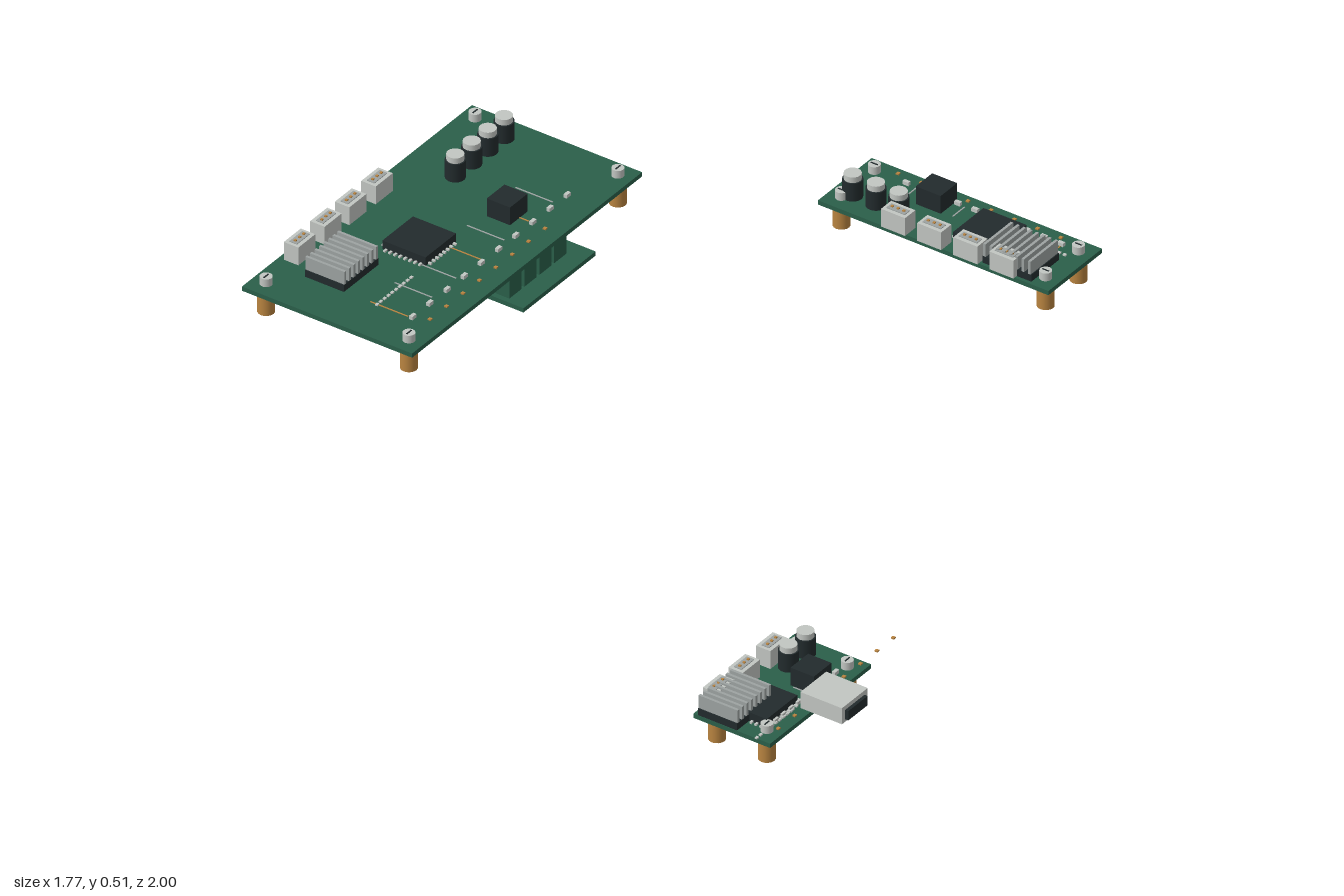
import * as THREE from 'three';

const mat = (name, color) => {
  const m = new THREE.MeshStandardMaterial({ color });
  m.name = name;
  return m;
};

export function createModel() {
  const green = mat('board green', 0x2a5f4a);
  const dark = mat('chip black', 0x222b2d);
  const light = mat('pale metal', 0xc2c6c2);
  const grey = mat('fin grey', 0x9da3a2);
  const brass = mat('brass', 0xb98440);

  const add = (parent, name, geo, m, x, y, z) => {
    const mesh = new THREE.Mesh(geo, m);
    mesh.name = name;
    mesh.position.set(x, y, z);
    parent.add(mesh);
    return mesh;
  };
  // Box and cylinder placed by the height of their underside
  const box = (p, name, m, w, h, d, x, y, z) =>
    add(p, name, new THREE.BoxGeometry(w, h, d), m, x, y + h / 2, z);
  const cyl = (p, name, m, r, h, x, y, z, sides = 20) =>
    add(p, name, new THREE.CylinderGeometry(r, r, h, sides), m, x, y + h / 2, z);

  const capacitor = (p, x, z) => {
    const g = new THREE.Group();
    g.name = 'capacitor';
    cyl(g, 'capacitorBody', dark, 0.021, 0.042, 0, 0, 0);
    cyl(g, 'capacitorCap', light, 0.018, 0.013, 0, 0.042, 0);
    g.position.set(x, 0, z);
    p.add(g);
  };

  const heatSink = (p, x, z) => {
    const g = new THREE.Group();
    g.name = 'heatSink';
    box(g, 'heatSinkBase', dark, 0.118, 0.016, 0.094, 0, 0, 0);
    for (let i = 0; i < 8; i++)
      box(g, 'heatSinkFin', grey, 0.006, 0.03, 0.094, -0.054 + i * 0.0154, 0.016, 0);
    g.position.set(x, 0, z);
    p.add(g);
  };

  const processor = (p, x, z) => {
    const g = new THREE.Group();
    g.name = 'processor';
    box(g, 'processorBody', dark, 0.104, 0.02, 0.104, 0, 0, 0);
    for (let i = 0; i < 8; i++) {
      const t = -0.042 + i * 0.012;
      for (const s of [-1, 1]) {
        box(g, 'processorPin', light, 0.005, 0.004, 0.01, t, 0, s * 0.055);
        box(g, 'processorPin', light, 0.01, 0.004, 0.005, s * 0.055, 0, t);
      }
    }
    g.position.set(x, 0, z);
    p.add(g);
  };

  const connector = (p, x, z) => {
    const g = new THREE.Group();
    g.name = 'connector';
    box(g, 'connectorHousing', light, 0.058, 0.042, 0.035, 0, 0, 0);
    box(g, 'connectorSlot', grey, 0.044, 0.002, 0.018, 0, 0.0415, 0);
    for (const s of [-1, 0, 1])
      box(g, 'connectorPin', brass, 0.005, 0.004, 0.005, s * 0.014, 0.042, 0);
    g.position.set(x, 0, z);
    p.add(g);
  };

  // Local y = 0 is the upper face of the board
  const circuitBoard = (name, o) => {
    const g = new THREE.Group();
    g.name = name;
    box(g, 'boardPlate', green, o.w, 0.01, o.d, 0, -0.01, 0);

    // Standoffs and screws at the corners
    for (const sx of [-1, 1]) for (const sz of [-1, 1]) {
      const x = sx * o.holeX, z = sz * o.holeZ;
      cyl(g, 'standoff', brass, 0.018, 0.055, x, -0.065, z, 16);
      cyl(g, 'screwHead', light, 0.013, 0.018, x, 0, z, 16);
      box(g, 'screwSlot', dark, 0.016, 0.001, 0.003, x, 0.018, z);
    }

    heatSink(g, ...o.sink);
    processor(g, ...o.chip);
    box(g, 'inductor', dark, 0.06, 0.042, 0.056, o.coil[0], 0, o.coil[1]);
    o.caps.forEach(x => capacitor(g, x, o.capZ));
    o.plugs.forEach(x => connector(g, x, o.plugZ));

    // Small surface parts and solder pads along the front edge
    for (let i = 0; i < 10; i++)
      box(g, 'resistor', light, 0.014, 0.008, 0.008, o.w * (-0.369 + i * 0.0746), 0, o.smdZ);
    for (let i = 0; i < 8; i++)
      box(g, 'solderPad', brass, 0.007, 0.003, 0.007, o.padX + i * 0.056, 0, o.padZ);

    // Traces
    for (let i = 0; i < 7; i++)
      box(g, 'trace', i === 0 || i === 3 || i === 5 ? brass : grey, 0.003, 0.001, o.d * 0.22,
        o.w * (-0.37 + i * 0.105), 0, o.d * 0.19);
    for (let i = 0; i < 10; i++)
      box(g, 'pinPad', light, 0.007, 0.003, 0.006, o.sink[0] - 0.059 + i * 0.013, 0, o.rowZ);

    g.position.set(...o.at);
    return g;
  };

  const model = new THREE.Group();
  model.name = 'circuitBoards';

  model.add(circuitBoard('largeBoard', {
    w: 0.784, d: 0.41, at: [0.408, 0.279, -0.795], holeX: 0.356, holeZ: 0.172,
    sink: [-0.233, -0.077], chip: [-0.072, -0.004], coil: [0.119, 0.073],
    caps: [0.167, 0.223, 0.278, 0.333], capZ: -0.086,
    plugs: [-0.238, -0.148, -0.064, 0.026], plugZ: -0.175,
    smdZ: 0.134, padX: -0.274, padZ: 0.165, rowZ: 0.05,
  }));

  const medium = circuitBoard('mediumBoard', {
    w: 0.555, d: 0.183, at: [0.79, 0.46, 0.183], holeX: 0.246, holeZ: 0.056,
    sink: [-0.172, -0.037], chip: [-0.073, -0.002], coil: [0.083, 0.037],
    caps: [0.12, 0.175, 0.231], capZ: -0.039,
    plugs: [-0.167, -0.08, 0.007, 0.094], plugZ: -0.078,
    smdZ: 0.055, padX: -0.19, padZ: 0.075, rowZ: 0.03,
  });
  medium.rotation.y = Math.PI / 2;
  model.add(medium);

  const small = circuitBoard('smallBoard', {
    w: 0.344, d: 0.185, at: [-0.714, 0.43, 0.8175], holeX: 0.137, holeZ: 0.06,
    sink: [-0.112, -0.035], chip: [-0.077, 0.002], coil: [0.05, 0.034],
    caps: [0.071, 0.129], capZ: -0.035,
    plugs: [-0.108, -0.021, 0.073], plugZ: -0.077,
    smdZ: 0.055, padX: -0.12, padZ: 0.0755, rowZ: 0.06,
  });
  // Data socket overhanging the front edge
  box(small, 'socketShell', light, 0.088, 0.038, 0.1, 0, 0.008, 0.125);
  box(small, 'socketOpening', dark, 0.066, 0.022, 0.012, 0, 0.014, 0.1765);
  model.add(small);

  // Terminal strip lying on the ground
  const strip = new THREE.Group();
  strip.name = 'terminalStrip';
  box(strip, 'stripPlate', green, 0.246, 0.01, 0.153, 0, 0, 0);
  for (let i = 0; i < 4; i++) {
    const x = -0.09 + i * 0.051;
    box(strip, 'terminalBlock', green, 0.042, 0.053, 0.068, x, 0.01, 0);
    cyl(strip, 'terminalScrew', grey, 0.018, 0.014, x, 0.063, 0);
  }
  strip.position.set(0.723, 0, -0.811);
  model.add(strip);

  return model;
}
